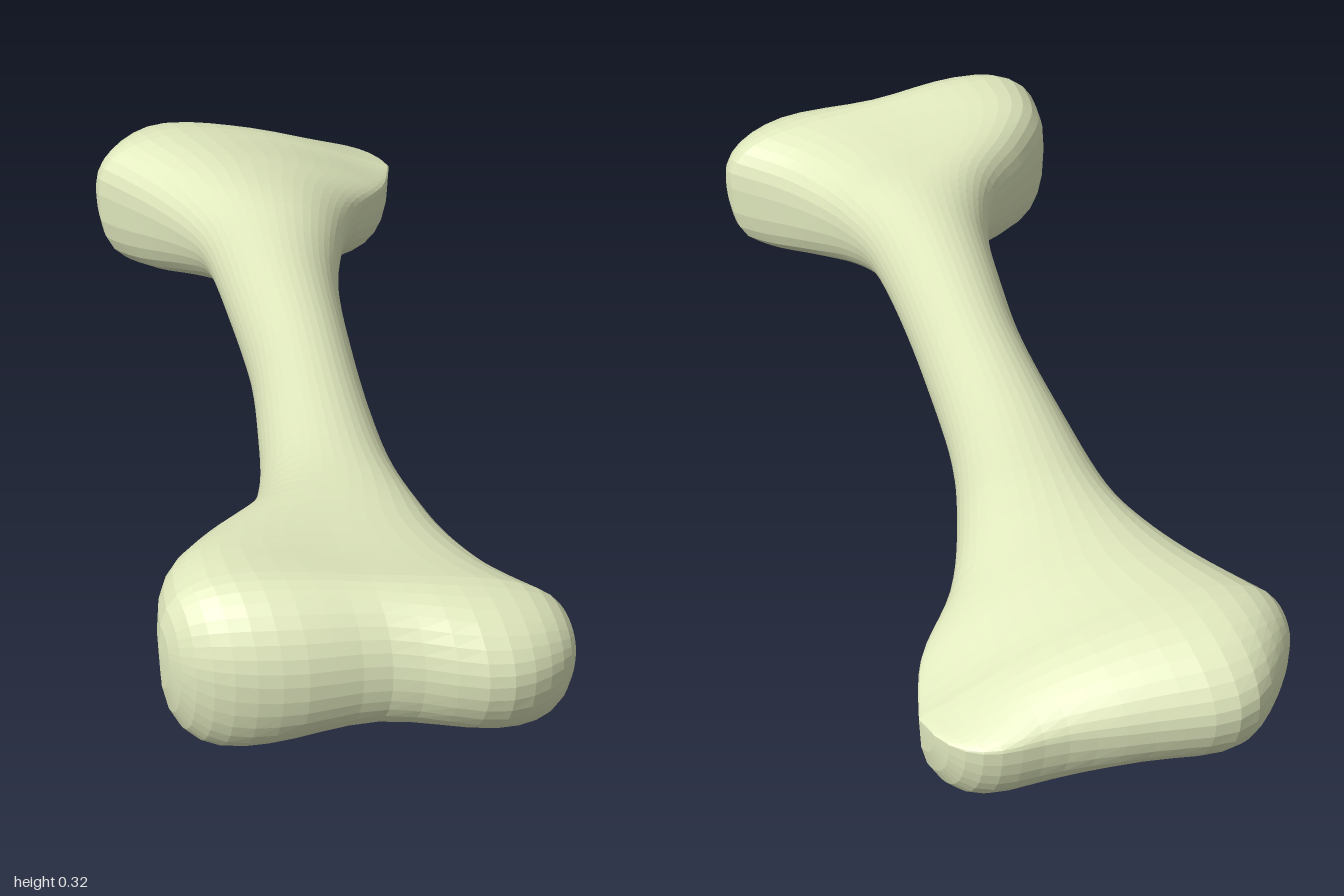
import * as THREE from 'three';

// Side outlines seen from above, as [x, z] pairs from front to back
const RIGHT_SIDE = [[-0.535, 0.74], [-0.5, 0.65], [-0.42, 0.58], [-0.3, 0.5], [-0.22, 0.38], [-0.15, 0.2],
  [-0.085, 0], [-0.03, -0.25], [0.005, -0.45], [0, -0.57], [-0.03, -0.7], [-0.08, -0.84]];
const LEFT_SIDE = [[0.1, 0.89], [0.045, 0.79], [0.012, 0.68], [0, 0.58], [0.003, 0.45], [0.04, 0.27],
  [0.1, 0.05], [0.18, -0.2], [0.265, -0.38], [0.36, -0.53], [0.47, -0.635], [0.535, -0.75]];

// Heights across a section: seam at its two sides, top and bottom at right lobe, middle and left lobe
const SHAFT = { seam: [0.195, 0.195], top: [0.302, 0.302, 0.302], bottom: [0.088, 0.088, 0.088] };
// Knuckles add how far the rounded end bulges along z, from right to left
const FRONT = { seam: [0.19, 0.145], top: [0.337, 0.295, 0.28], bottom: [-0.013, 0.03, -0.014],
  bulge: [0.15, 0.13, 0.106, 0.157, 0.14] };
const BACK = { seam: [0.17, 0.16], top: [0.3, 0.27, 0.218], bottom: [-0.016, 0.02, -0.015],
  bulge: [-0.12, -0.195, -0.165, -0.14, -0.18] };

const AROUND = 44, ALONG = 56, CAP = 9;
const { lerp, smoothstep } = THREE.MathUtils;

const outline = (pairs) => new THREE.SplineCurve(pairs.map(([x, z]) => new THREE.Vector2(x, z)));
const rightSide = outline(RIGHT_SIDE), leftSide = outline(LEFT_SIDE);

// Quadratic through l at v = -0.6, m at v = 0 and r at v = 0.6
const across = ([l, m, r], v) => {
  const w = v / 0.6;
  return m + ((r - l) / 2) * w + ((l + r) / 2 - m) * w * w;
};

// One closed ring at t along the bone; phi folds the section into the rounded end
function ring(t, phi) {
  const a = rightSide.getPoint(t), b = leftSide.getPoint(t);
  const end = t < 0.5 ? FRONT : BACK;
  const flare = smoothstep(Math.abs(a.y + b.y) / 2, 0.4, 0.8);
  const power = 2 + 0.6 * flare;
  const bulge = new THREE.SplineCurve(end.bulge.map((z, i) => new THREE.Vector2(i, z)));
  const points = [];
  for (let j = 0; j < AROUND; j++) {
    const angle = (j / AROUND) * Math.PI * 2;
    const v = Math.cos(angle), u = (v + 1) / 2;
    const round = Math.max(0, 1 - Math.abs(v) ** power) ** (1 / power);
    const side = Math.sin(angle) >= 0 ? 'top' : 'bottom';
    const edge = lerp(across(SHAFT[side], v), across(end[side], v), flare);
    const seam = lerp(lerp(...SHAFT.seam, u), lerp(...end.seam, u), flare);
    points.push(
      lerp(a.x, b.x, u),
      seam + (edge - seam) * round * Math.cos(phi),
      lerp(a.y, b.y, u) + bulge.getPoint(u).y * round * Math.sin(phi),
    );
  }
  return points;
}

function boneGeometry() {
  // Front knuckles, shaft, back knuckles
  const rings = [];
  for (let i = CAP; i > 0; i--) rings.push(ring(0, (i / CAP) * Math.PI / 2));
  for (let i = 0; i <= ALONG; i++) rings.push(ring(i / ALONG, 0));
  for (let i = 1; i <= CAP; i++) rings.push(ring(1, (i / CAP) * Math.PI / 2));

  // Skin between neighbouring rings
  const index = [];
  for (let i = 0; i < rings.length - 1; i++) {
    for (let j = 0; j < AROUND; j++) {
      const a = i * AROUND + j, b = i * AROUND + ((j + 1) % AROUND);
      const c = a + AROUND, d = b + AROUND;
      index.push(a, c, b, b, c, d);
    }
  }
  const geometry = new THREE.BufferGeometry();
  geometry.setAttribute('position', new THREE.Float32BufferAttribute(rings.flat(), 3));
  geometry.setIndex(index);
  geometry.computeVertexNormals();
  return geometry;
}

export function createModel() {
  const group = new THREE.Group();
  group.name = 'bone';
  const material = new THREE.MeshStandardMaterial({ color: 0xe2eabf, flatShading: true });
  const bone = new THREE.Mesh(boneGeometry(), material);
  bone.name = 'boneShaftAndKnuckles';
  group.add(bone);
  return group;
}
